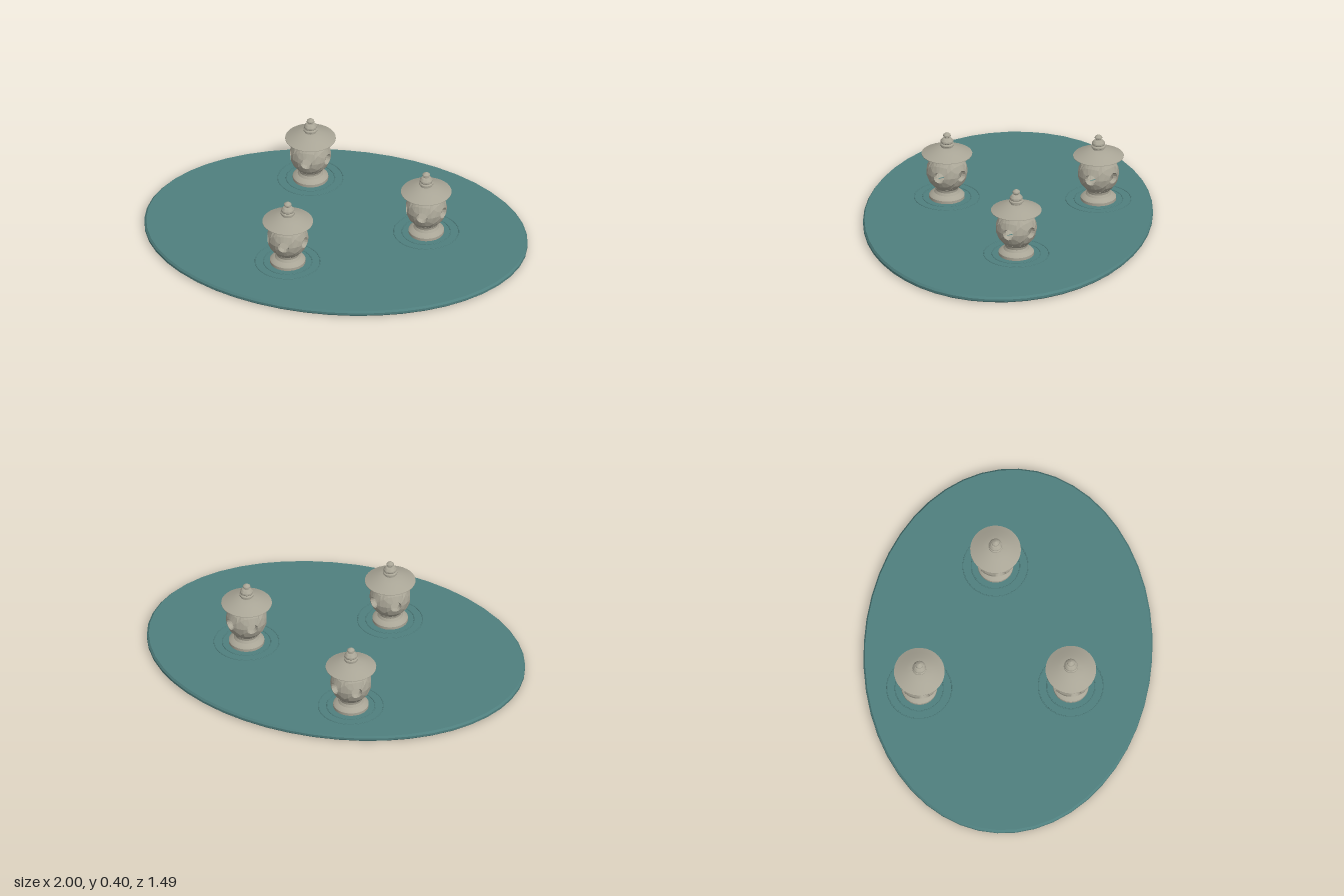
import * as THREE from 'three';
import { toCreasedNormals } from 'three/addons/utils/BufferGeometryUtils.js';

const stone = new THREE.MeshStandardMaterial({ color: 0xa9a596 });
stone.name = 'stone';
const water = new THREE.MeshStandardMaterial({ color: 0x4f7f7e });
water.name = 'water';

const WATER_TOP = 0.03;

function part(name, geometry, material) {
  const mesh = new THREE.Mesh(geometry, material);
  mesh.name = name;
  return mesh;
}

// Turned part from [radius, height] pairs, listed bottom to top
function turned(profile, segments = 32) {
  const points = profile.map(([r, y]) => new THREE.Vector2(r, y));
  return toCreasedNormals(new THREE.LatheGeometry(points, segments), 0.5);
}

// Hollow faceted globe: five sectors, each pierced by a round window.
// Rows run from the inner wall's rim, through the window, to the outer wall's rim.
function piercedGlobe(outer, inner, centreY) {
  const halfLon = Math.PI / 5, halfLat = 0.845, windowAngle = 0.28, N = 16;
  const rows = [[inner, 1], [inner, 0.5], [inner, 0], [outer, 0], [outer, 0.5], [outer, 1]];
  const positions = [];

  const point = (sector, row, j) => {
    const [radius, s] = rows[row];
    // Walk anticlockwise around a unit square, four steps to a side
    const side = Math.floor((j % N) / 4), t = ((j % 4) / 4) * 2 - 1;
    const [u, v] = [[1, t], [-t, 1], [-1, -t], [t, -1]][side];
    const a = Math.atan2(v, u);
    const lon = THREE.MathUtils.lerp(windowAngle * Math.cos(a), halfLon * u, s) + sector * halfLon * 2;
    const lat = THREE.MathUtils.lerp(windowAngle * Math.sin(a), halfLat * v, s);
    return [
      radius * Math.cos(lat) * Math.sin(lon),
      centreY + radius * Math.sin(lat),
      radius * Math.cos(lat) * Math.cos(lon),
    ];
  };

  for (let sector = 0; sector < 5; sector++) {
    for (let row = 0; row < rows.length - 1; row++) {
      for (let j = 0; j < N; j++) {
        const a = point(sector, row, j), b = point(sector, row + 1, j);
        const c = point(sector, row + 1, j + 1), d = point(sector, row, j + 1);
        positions.push(...a, ...b, ...c, ...a, ...c, ...d);
      }
    }
  }
  const geometry = new THREE.BufferGeometry();
  geometry.setAttribute('position', new THREE.Float32BufferAttribute(positions, 3));
  geometry.computeVertexNormals();
  return geometry;
}

const footGeometry = turned([
  [0, 0.028], [0.092, 0.028], [0.092, 0.045], [0.084, 0.053], [0.066, 0.062],
  [0.058, 0.075], [0.06, 0.088], [0.072, 0.1], [0.07, 0.104], [0, 0.104],
]);
const globeGeometry = piercedGlobe(0.107, 0.084, 0.179);
const roofGeometry = turned([
  [0, 0.258], [0.072, 0.258], [0.1, 0.266], [0.131, 0.276], [0.131, 0.279],
  [0.1, 0.293], [0.07, 0.306], [0.042, 0.315], [0, 0.318],
]);
const finialGeometry = turned([
  [0.03, 0.312], [0.03, 0.322], [0.037, 0.327], [0.037, 0.334], [0.031, 0.34],
  [0.034, 0.345], [0.033, 0.353], [0.024, 0.364], [0.014, 0.368],
  [0.014, 0.373], [0.02, 0.378], [0.019, 0.385], [0.01, 0.393], [0, 0.398],
], 24);

// Ripples: slim rings lying on the water
const rippleGeometries = [0.125, 0.168].map((r) => {
  const ring = new THREE.TorusGeometry(r, 0.003, 6, 48);
  return ring.rotateX(-Math.PI / 2);
});

function lantern(x, z) {
  const group = new THREE.Group();
  group.name = 'lantern';
  group.add(
    part('foot', footGeometry, stone),
    part('lightChamber', globeGeometry, stone),
    part('roof', roofGeometry, stone),
    part('finial', finialGeometry, stone),
  );
  for (const geometry of rippleGeometries) {
    const ripple = part('ripple', geometry, water);
    ripple.position.y = WATER_TOP;
    group.add(ripple);
  }
  group.position.set(x, 0, z);
  return group;
}

export function createModel() {
  const model = new THREE.Group();
  model.name = 'lanternPond';

  // Oval sheet of water with a softly bevelled rim
  const pond = new THREE.LatheGeometry(
    [[0, 0], [0.99, 0], [1, 0.008], [1, 0.02], [0.99, WATER_TOP], [0, WATER_TOP]]
      .map(([r, y]) => new THREE.Vector2(r, y)), 48);
  pond.scale(1, 1, 0.745);
  model.add(part('pond', toCreasedNormals(pond, 0.5), water));

  for (const [x, z] of [[-0.235, -0.445], [0.457, -0.09], [-0.18, 0.335]]) {
    model.add(lantern(x, z));
  }
  return model;
}
